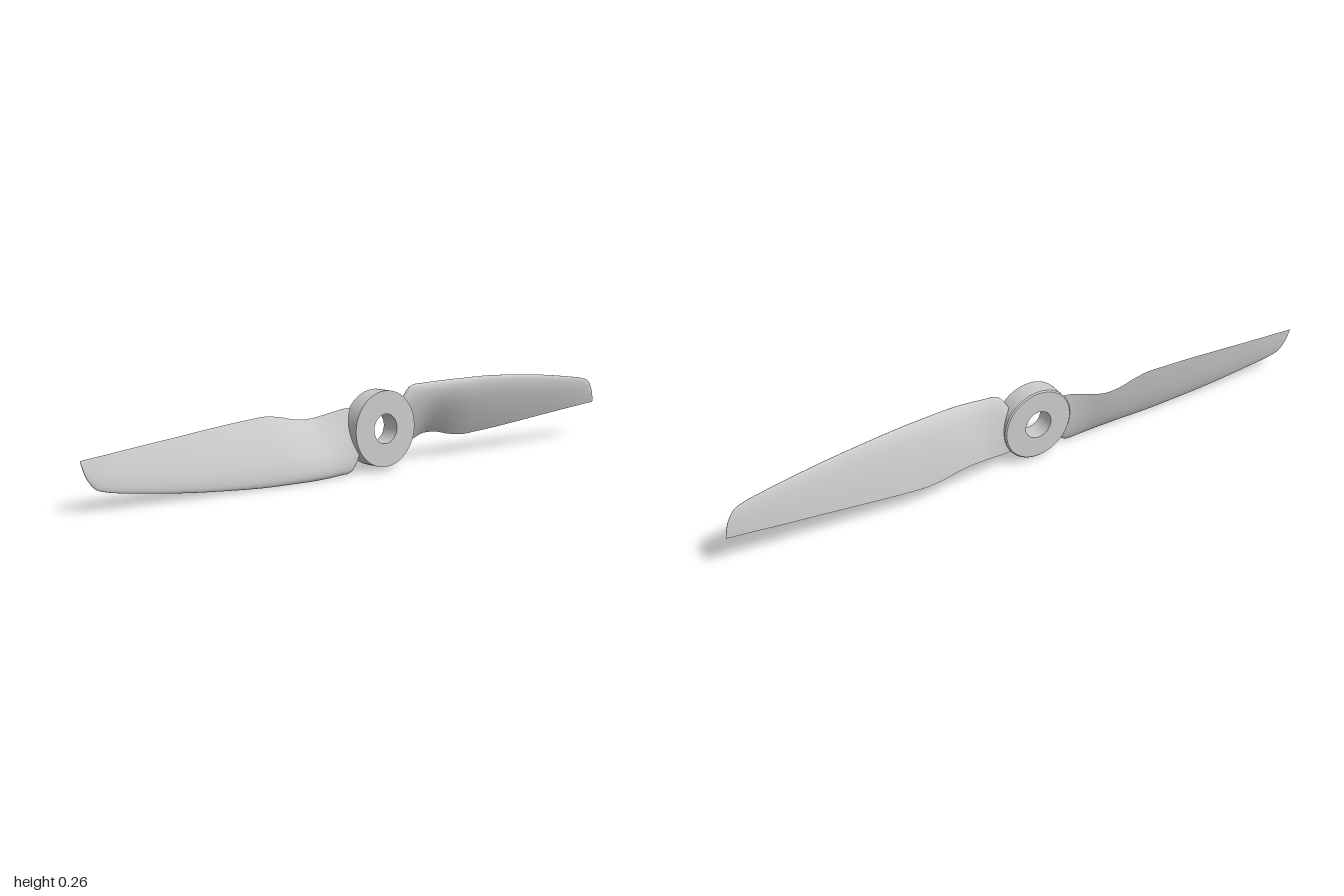
import * as THREE from 'three';

const CENTRE_Y = 0.129;
const material = new THREE.MeshStandardMaterial({ color: 0xcccccc, side: THREE.DoubleSide });

// Blade stations: x, leading edge y, z, trailing edge y, z, thickness
const STATIONS = [
  [0.08, 0.198, 0.008, 0.062, -0.018, 0.024],
  [0.118, 0.248, 0.014, 0.063, -0.022, 0.028],
  [0.17, 0.254, 0.019, 0.074, -0.033, 0.034],
  [0.225, 0.256, 0.025, 0.085, -0.045, 0.038],
  [0.28, 0.257, 0.026, 0.083, -0.047, 0.038],
  [0.335, 0.257, 0.024, 0.071, -0.046, 0.036],
  [0.39, 0.257, 0.021, 0.064, -0.044, 0.033],
  [0.45, 0.256, 0.018, 0.067, -0.042, 0.03],
  [0.56, 0.25, 0.013, 0.076, -0.037, 0.025],
  [0.7, 0.239, 0.007, 0.09, -0.031, 0.02],
  [0.86, 0.22, 0.0, 0.106, -0.025, 0.014],
  [0.93, 0.209, -0.004, 0.113, -0.021, 0.011],
  [0.962, 0.198, -0.007, 0.116, -0.02, 0.009],
  [0.984, 0.171, -0.011, 0.118, -0.019, 0.006],
  [0.994, 0.145, -0.014, 0.119, -0.018, 0.004],
  [1.0, 0.122, -0.017, 0.12, -0.018, 0],
];

// Half thickness of a round-nosed aerofoil, t = 0 at the nose, 1 at the tail
const foil = (t) => 2 * (0.2969 * Math.sqrt(t) * 5 - 0.63 * t - 1.758 * t * t + 1.4215 * t ** 3 - 0.518 * t ** 4) / 2;

function bladeGeometry() {
  const curve = (pick) => new THREE.CatmullRomCurve3(STATIONS.map((s) => new THREE.Vector3(...pick(s))));
  const lead = curve((s) => [s[0], s[1] - CENTRE_Y, s[2]]);
  const trail = curve((s) => [s[0], s[3] - CENTRE_Y, s[4]]);
  const thick = curve((s) => [s[0], s[5], 0]);
  const rings = 90, half = 20, across = 2 * half + 1;
  const positions = [], index = [];
  for (let i = 0; i <= rings; i++) {
    const u = i / rings;
    const a = lead.getPoint(u), b = trail.getPoint(u), h = Math.max(0, thick.getPoint(u).y);
    const cy = b.y - a.y, cz = b.z - a.z, len = Math.hypot(cy, cz) || 1;
    // front of the tail, round the nose, to the back of the tail
    for (let j = 0; j < across; j++) {
      const k = (j - half) / half, t = k * k;
      const off = (k < 0 ? 0.58 : -0.42) * 2 * h * Math.max(0, foil(t));
      positions.push(
        a.x + (b.x - a.x) * t,
        a.y + cy * t + (cz / len) * off,
        a.z + cz * t - (cy / len) * off
      );
      if (i < rings && j < across - 1) {
        const p = i * across + j, q = p + across;
        index.push(p, q, p + 1, q, q + 1, p + 1);
      }
    }
  }
  const g = new THREE.BufferGeometry();
  g.setAttribute('position', new THREE.Float32BufferAttribute(positions, 3));
  g.setIndex(index);
  g.computeVertexNormals();
  return g;
}

function hubGeometry() {
  // Ring profile (radius, depth), with a small bevel at the rear; corners kept sharp
  const corners = [[0.045, 0.034], [0.045, -0.027], [0.112, -0.027], [0.116, -0.023], [0.116, 0.034], [0.045, 0.034]];
  const points = [];
  corners.forEach(([r, z], i) => {
    points.push(new THREE.Vector2(r, z));
    if (i > 0 && i < corners.length - 1) points.push(new THREE.Vector2(r, z));
  });
  const g = new THREE.LatheGeometry(points, 72).toNonIndexed();
  // Normals per profile segment: radial and axial parts from the segment direction
  const p = g.attributes.position, n = g.attributes.normal;
  const v = [0, 1, 2].map(() => new THREE.Vector3());
  for (let i = 0; i < p.count; i += 3) {
    v.forEach((c, k) => c.fromBufferAttribute(p, i + k));
    const face = v[1].clone().sub(v[0]).cross(v[2].clone().sub(v[0])).normalize();
    const mid = v[0].clone().add(v[1]).add(v[2]);
    const side = Math.sign(face.x * mid.x + face.z * mid.z) * Math.hypot(face.x, face.z);
    v.forEach((c, k) => {
      const r = Math.hypot(c.x, c.z);
      n.setXYZ(i + k, (c.x / r) * side, face.y, (c.z / r) * side);
    });
  }
  return g.rotateX(Math.PI / 2);
}

export function createModel() {
  const group = new THREE.Group();
  group.name = 'propeller';

  const hub = new THREE.Mesh(hubGeometry(), material);
  hub.name = 'hub';
  hub.position.y = CENTRE_Y;
  group.add(hub);

  // Two identical blades, half a turn apart
  const geometry = bladeGeometry();
  ['leftBlade', 'rightBlade'].forEach((name, i) => {
    const blade = new THREE.Mesh(geometry, material);
    blade.name = name;
    blade.position.y = CENTRE_Y;
    blade.rotation.z = i * Math.PI;
    group.add(blade);
  });
  return group;
}
